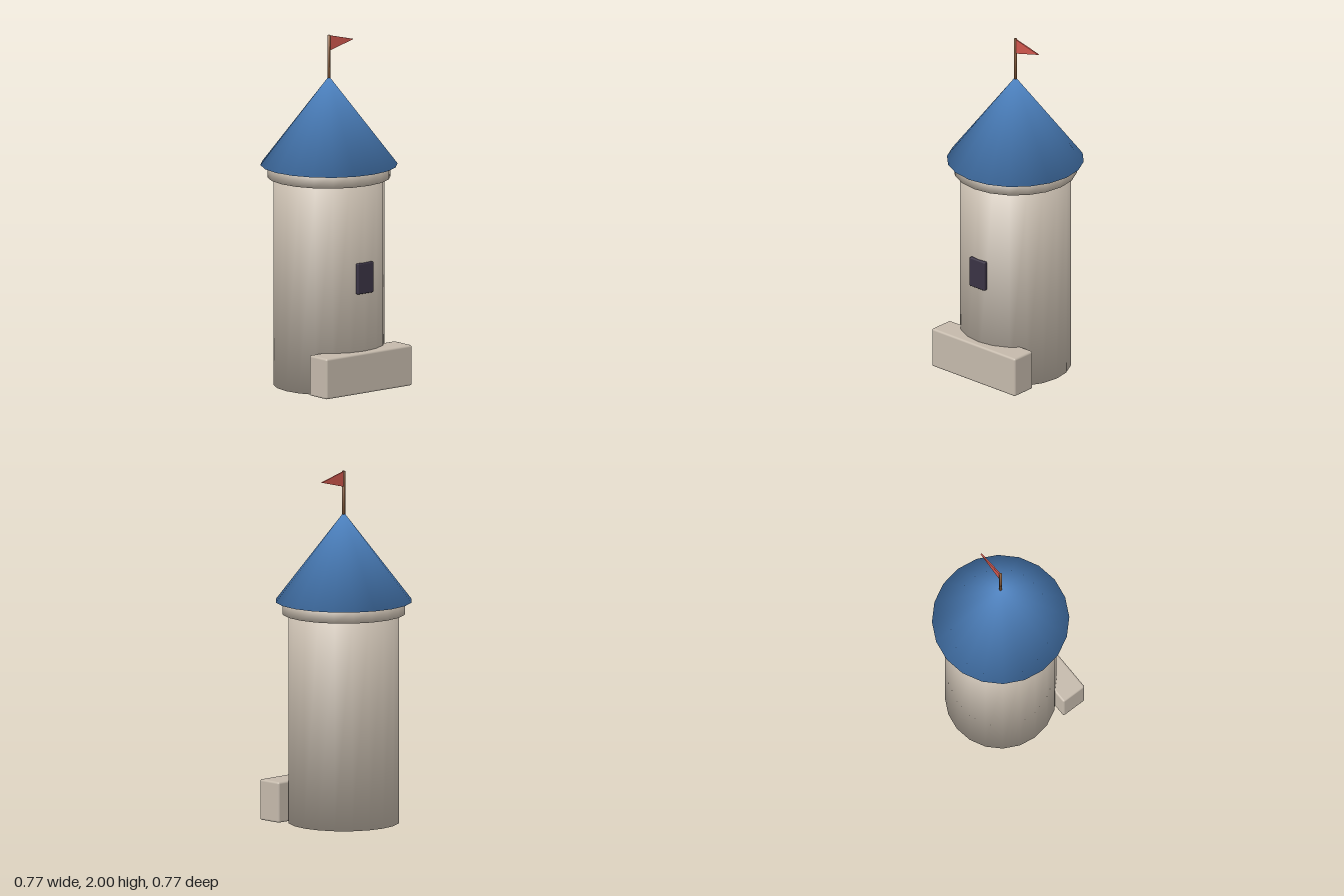
import * as THREE from 'three';
import { mergeVertices } from 'three/addons/utils/BufferGeometryUtils.js';
import { RoundedBoxGeometry } from 'three/addons/geometries/RoundedBoxGeometry.js';

const SIDES = 20;

function material(name, color) {
  const m = new THREE.MeshStandardMaterial({ color });
  m.name = name;
  return m;
}

// Weld a solid and give it angle-weighted normals, smooth across its caps
function smoothSolid(source) {
  source.deleteAttribute('uv');
  source.deleteAttribute('normal');
  const geo = mergeVertices(source, 1e-5);
  geo.clearGroups();
  const pos = geo.attributes.position;
  const index = geo.index;
  const sums = Array.from({ length: pos.count }, () => new THREE.Vector3());
  const p = [0, 1, 2].map(() => new THREE.Vector3());
  for (let i = 0; i < index.count; i += 3) {
    const ids = [0, 1, 2].map((k) => index.getX(i + k));
    ids.forEach((id, k) => p[k].fromBufferAttribute(pos, id));
    const face = p[1].clone().sub(p[0]).cross(p[2].clone().sub(p[0])).normalize();
    ids.forEach((id, k) => {
      const a = p[(k + 1) % 3].clone().sub(p[k]);
      const b = p[(k + 2) % 3].clone().sub(p[k]);
      sums[id].addScaledVector(face, a.angleTo(b));
    });
  }
  const normals = sums.flatMap((n) => n.normalize().toArray());
  geo.setAttribute('normal', new THREE.Float32BufferAttribute(normals, 3));
  return geo;
}

export function createModel() {
  const model = new THREE.Group();
  model.name = 'tower';

  const stone = material('stone', 0xc4b9ab);
  const blue = material('roofBlue', 0x4f86c6);
  const wood = material('poleWood', 0x8b5e3c);
  const red = material('flagRed', 0xd0574e);
  const dark = material('windowDark', 0x3a3344);

  function add(name, geometry, mat, x = 0, y = 0, z = 0) {
    const mesh = new THREE.Mesh(geometry, mat);
    mesh.name = name;
    mesh.position.set(x, y, z);
    model.add(mesh);
    return mesh;
  }

  // Round solid standing between two heights
  function round(name, mat, topRadius, bottomRadius, y0, y1, sides = SIDES) {
    const geo = new THREE.CylinderGeometry(topRadius, bottomRadius, y1 - y0, sides);
    return add(name, smoothSolid(geo), mat, 0, (y0 + y1) / 2, 0);
  }

  // Tower body, rim and roof
  round('towerBody', stone, 0.313, 0.313, 0, 1.2);
  round('rim', stone, 0.347, 0.347, 1.19, 1.262);
  round('roof', blue, 0, 0.386, 1.26, 1.765);

  // Low wall across the front
  add('frontWall', new RoundedBoxGeometry(0.63, 0.232, 0.153, 2, 0.012), stone, 0, 0.122, 0.278);

  // Window set into the body
  add('window', new RoundedBoxGeometry(0.116, 0.176, 0.03, 2, 0.007), dark, 0, 0.657, 0.309);

  // Flagpole and pennant
  round('flagpole', wood, 0.009, 0.009, 1.75, 2, 6);
  const pennant = new THREE.Shape([
    new THREE.Vector2(0.004, 1.998),
    new THREE.Vector2(0.004, 1.911),
    new THREE.Vector2(0.177, 1.955),
  ]);
  const cloth = new THREE.ExtrudeGeometry(pennant, { depth: 0.008, bevelEnabled: false });
  add('flag', cloth, red, 0, 0, -0.004);

  return model;
}
